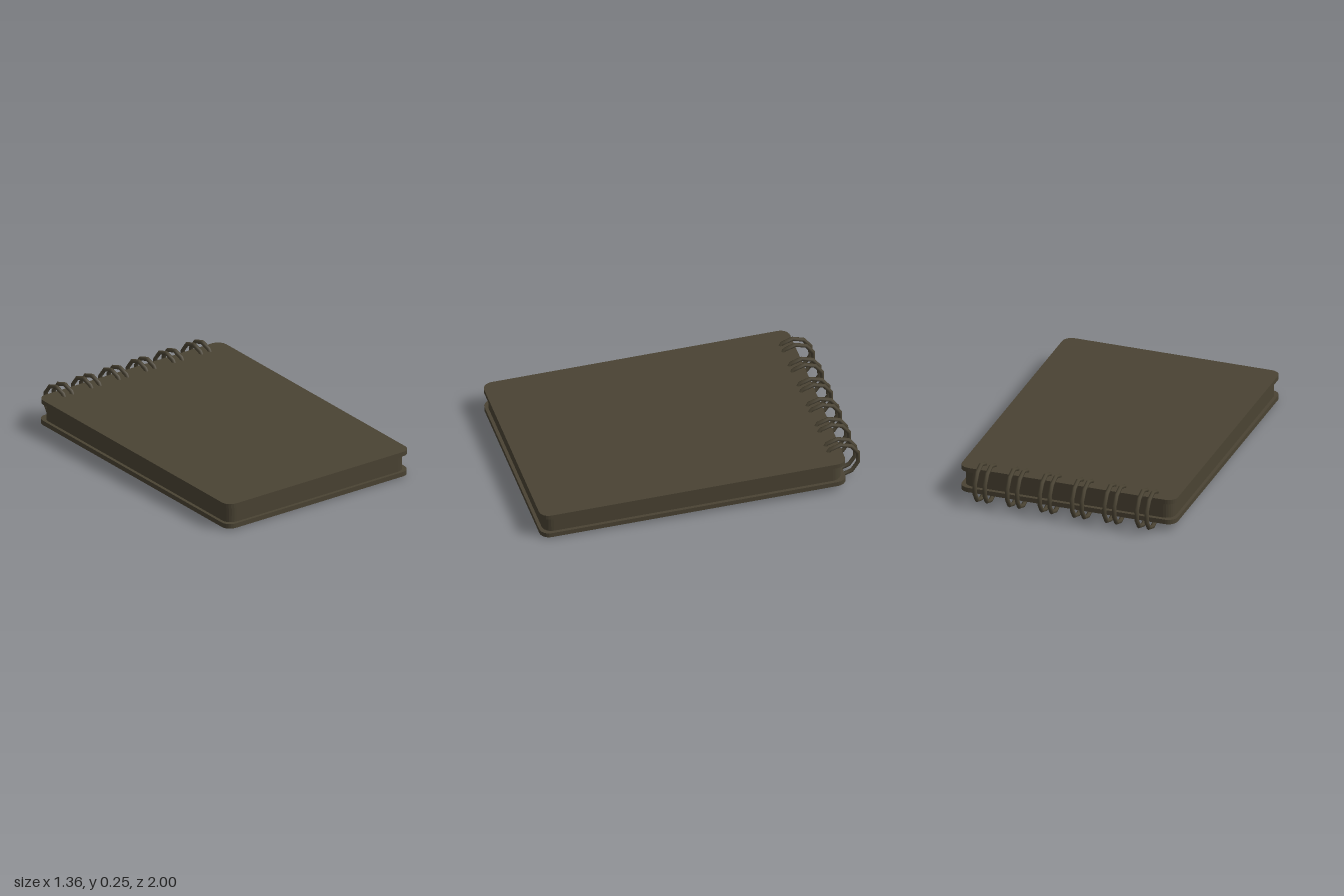
import * as THREE from 'three';

// Flat slab with rounded corners, lying in the xz plane from y0 to y1
function slab(name, halfX, zBack, zFront, y0, y1, r, material) {
  const s = new THREE.Shape();
  const a = -zFront, b = -zBack; // shape y becomes -z once laid flat
  s.moveTo(-halfX + r, a);
  s.lineTo(halfX - r, a);
  s.absarc(halfX - r, a + r, r, -Math.PI / 2, 0);
  s.lineTo(halfX, b - r);
  s.absarc(halfX - r, b - r, r, 0, Math.PI / 2);
  s.lineTo(-halfX + r, b);
  s.absarc(-halfX + r, b - r, r, Math.PI / 2, Math.PI);
  s.lineTo(-halfX, a + r);
  s.absarc(-halfX + r, a + r, r, Math.PI, Math.PI * 1.5);
  const geometry = new THREE.ExtrudeGeometry(s, { depth: y1 - y0, bevelEnabled: false, curveSegments: 3 });
  geometry.rotateX(-Math.PI / 2);
  geometry.translate(0, y0, 0);
  const mesh = new THREE.Mesh(geometry, material);
  mesh.name = name;
  return mesh;
}

export function createModel() {
  const model = new THREE.Group();
  model.name = 'notepad';
  const olive = new THREE.MeshStandardMaterial({ color: 0x4a4333 });
  olive.name = 'dark olive';

  // The pad rests on its rings, so the back is slightly raised
  const pad = new THREE.Group();
  pad.name = 'pad';
  pad.rotation.x = 0.0187;
  model.add(pad);

  // Covers and the page block between them
  pad.add(slab('bottomCover', 0.68, -0.88, 1, 0.034, 0.063, 0.06, olive));
  pad.add(slab('topCover', 0.68, -0.88, 1, 0.166, 0.194, 0.06, olive));
  pad.add(slab('pages', 0.66, -0.855, 0.98, 0.063, 0.166, 0.06, olive));

  // Binding: six pairs of ten-sided wire rings
  const ringGeometry = new THREE.TorusGeometry(0.1115, 0.0135, 6, 10);
  ringGeometry.rotateZ(Math.PI / 2);
  ringGeometry.rotateY(Math.PI / 2);
  const binding = new THREE.Group();
  binding.name = 'binding';
  for (let i = 0; i < 6; i++) {
    for (const side of [-1, 1]) {
      const ring = new THREE.Mesh(ringGeometry, olive);
      ring.name = 'ring';
      ring.position.set((i - 2.5) * 0.204 + side * 0.031, 0.114, -0.875);
      binding.add(ring);
    }
  }
  pad.add(binding);
  return model;
}
